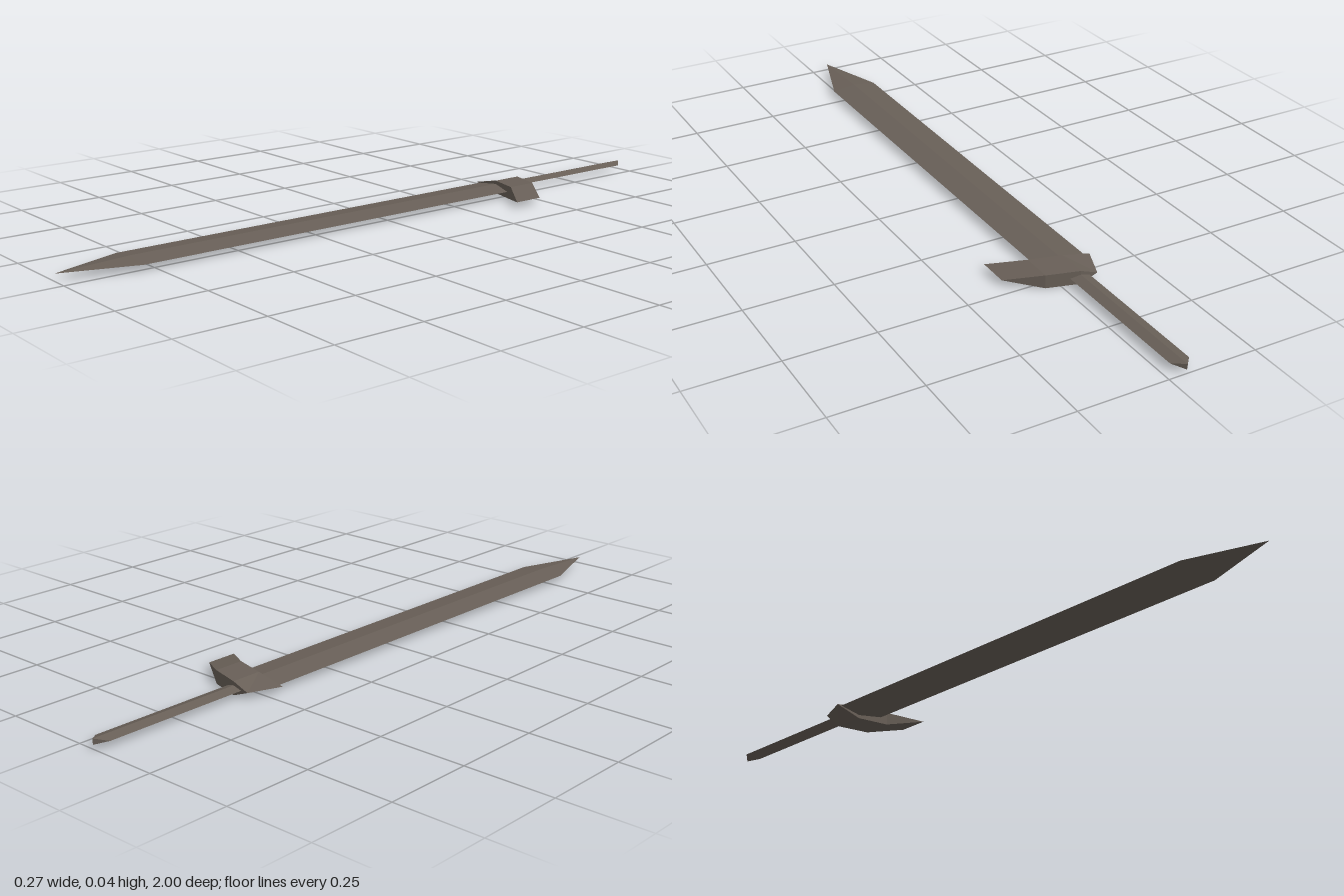
import * as THREE from 'three';

const MID = 0.019; // height of the sword's centre plane

// Skins a run of four-point sections (counterclockwise seen from the far end) with flat faces.
function loft(name, sections, material) {
  const pos = [];
  const tri = (...pts) => {
    const [a, b, c] = pts.map((p) => new THREE.Vector3(...p));
    if (b.sub(a).cross(c.sub(a)).length() > 1e-9) pts.forEach((p) => pos.push(...p));
  };
  for (let i = 0; i < sections.length - 1; i++) {
    const s = sections[i], t = sections[i + 1];
    for (let j = 0; j < 4; j++) {
      const k = (j + 1) % 4;
      tri(s[j], s[k], t[k]);
      tri(s[j], t[k], t[j]);
    }
  }
  // End caps, split along the second-to-fourth corner
  const s = sections[0], e = sections[sections.length - 1];
  tri(s[0], s[3], s[1]);
  tri(s[1], s[3], s[2]);
  tri(e[0], e[1], e[3]);
  tri(e[1], e[2], e[3]);
  const geometry = new THREE.BufferGeometry();
  geometry.setAttribute('position', new THREE.Float32BufferAttribute(pos, 3));
  geometry.computeVertexNormals();
  const mesh = new THREE.Mesh(geometry, material);
  mesh.name = name;
  return mesh;
}

// Diamond section across the sword's length; the ridge may sit at its own z.
function diamond(z, halfWidth, halfHeight, ridgeZ = z) {
  const x = -0.05;
  return [
    [x + halfWidth, MID, z],
    [x, MID + halfHeight, ridgeZ],
    [x - halfWidth, MID, z],
    [x, MID - halfHeight, ridgeZ],
  ];
}

// Guard section: back and front edges joined by upright sides.
function guardSection(backX, backZ, frontX, frontZ, h) {
  return [
    [backX, MID + h, backZ],
    [frontX, MID + h, frontZ],
    [frontX, MID - h, frontZ],
    [backX, MID - h, backZ],
  ];
}

export function createModel() {
  const steel = new THREE.MeshStandardMaterial({ color: 0x685f57, flatShading: true });
  steel.name = 'dark steel';

  const sword = new THREE.Group();
  sword.name = 'sword';

  // Blade with a straight run and a pointed tip
  sword.add(loft('blade', [
    diamond(-0.5, 0.07, 0.009),
    diamond(0.79, 0.07, 0.009),
    diamond(1.0, 0, 0),
  ], steel));

  // Slim grip with a peaked end
  sword.add(loft('grip', [
    diamond(-0.97, 0.027, 0.008, -1.0),
    diamond(-0.5, 0.027, 0.008),
  ], steel));

  // Lopsided swept guard, thick in the middle and sharp at both ends
  sword.add(loft('guard', [
    guardSection(-0.10, -0.55, -0.135, -0.46, 0),
    guardSection(-0.05, -0.55, -0.05, -0.46, MID),
    guardSection(0.04, -0.525, 0.04, -0.437, MID),
    guardSection(0.133, -0.465, 0.133, -0.375, 0),
  ], steel));

  return sword;
}
